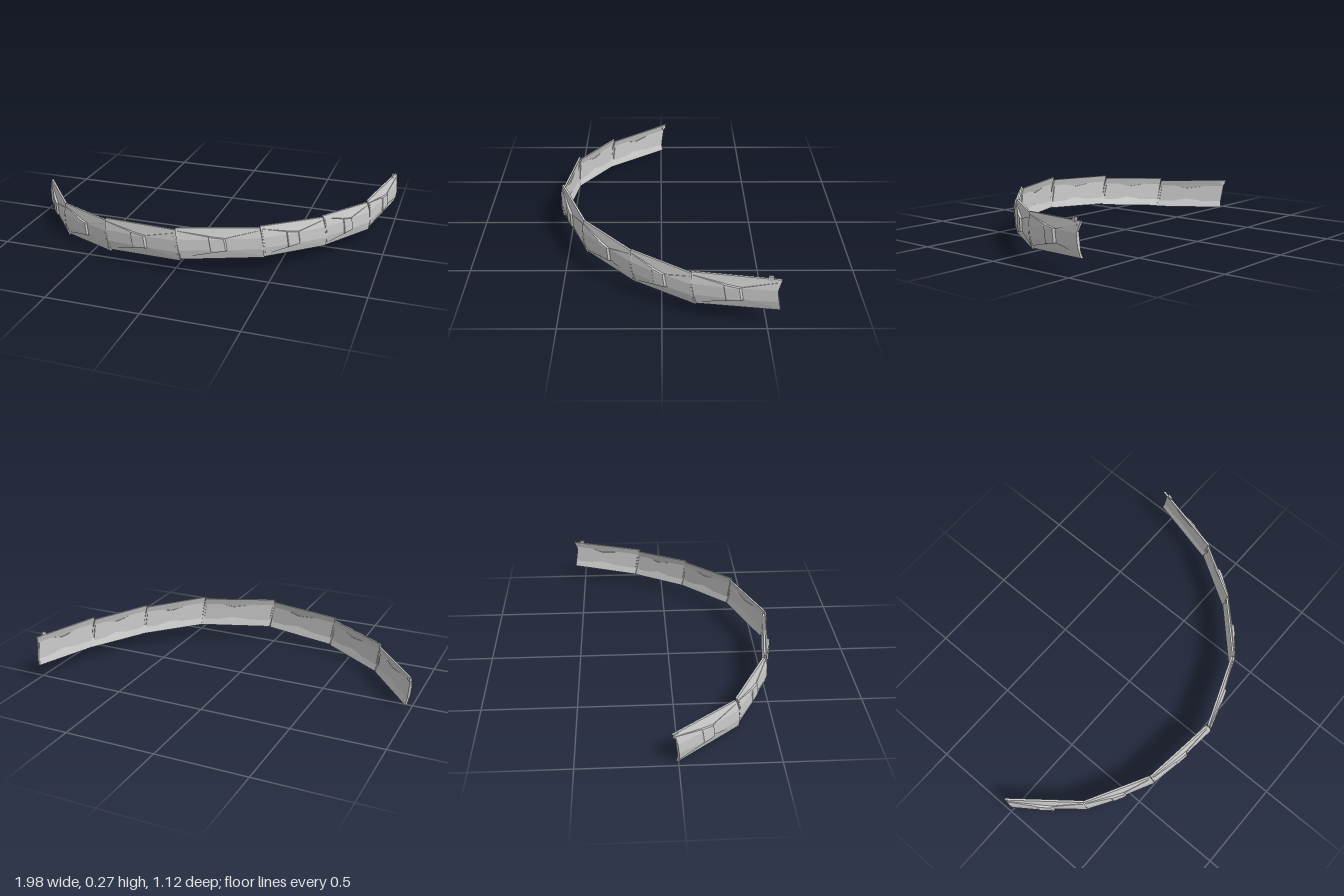
import * as THREE from 'three';

const material = new THREE.MeshStandardMaterial({ color: 0xcccccc, flatShading: true, side: THREE.DoubleSide });

// Plan position of each joint [x, z]
const joints = [[-0.983, -0.015], [-0.72, 0.312], [-0.385, 0.497], [0.03, 0.55], [0.433, 0.398],
  [0.703, 0.142], [0.887, -0.15], [0.983, -0.557]].map(([x, z]) => new THREE.Vector3(x, 0, z));

// Centre height at the start and end of each segment
const heights = [[0.088, 0.09], [0.1, 0.125], [0.136, 0.155], [0.165, 0.164], [0.17, 0.155], [0.16, 0.148], [0.156, 0.178]];
const last = heights.length - 1;

const direction = (i) => joints[i + 1].clone().sub(joints[i]).normalize();
const outward = (d) => new THREE.Vector3(-d.z, 0, d.x);

// Outward direction at a joint, averaged between its two segments
function jointNormal(i) {
  const d = direction(Math.min(i, last));
  if (i > 0) d.add(direction(i - 1));
  return outward(d.normalize());
}

// Closed solid through equal-length cross-sections
function loft(sections) {
  const n = sections[0].length;
  const positions = [];
  const quad = (a, b, c, d) => [a, b, c, a, c, d].forEach((p) => positions.push(p.x, p.y, p.z));
  for (let i = 0; i + 1 < sections.length; i++) {
    const p = sections[i], q = sections[i + 1];
    for (let j = 0; j < n; j++) {
      const k = (j + 1) % n;
      quad(p[j], q[j], q[k], p[k]);
    }
  }
  const s = sections[0], e = sections[sections.length - 1];
  for (let j = 0; j < n / 2 - 1; j++) {
    quad(s[j], s[j + 1], s[n - 2 - j], s[n - 1 - j]);
    quad(e[n - 1 - j], e[n - 2 - j], e[j + 1], e[j]);
  }
  const geometry = new THREE.BufferGeometry();
  geometry.setAttribute('position', new THREE.Float32BufferAttribute(positions, 3));
  geometry.computeVertexNormals();
  return geometry;
}

// Maps (along, outward, up) coordinates of a segment into the model
function segmentPlacer(i) {
  const d = direction(i), n0 = jointNormal(i), n1 = jointNormal(i + 1);
  return (t, o, v) => {
    const a = joints[i].clone().addScaledVector(n0, o);
    const p = a.lerp(joints[i + 1].clone().addScaledVector(n1, o), t);
    let shift = -0.17 * v;
    if (i === last && t === 1) shift = Math.abs(v) < 0.05 ? -0.014 : 0;
    if (i === 0 && t === 0 && Math.abs(v) < 0.05) shift += 0.014;
    p.addScaledVector(d, shift);
    p.y = THREE.MathUtils.lerp(heights[i][0], heights[i][1], t) + v;
    return p;
  };
}

// Dished shell profile, [outward, up]
const shellProfile = (h) => [[-0.003, -h], [0.01, -0.035], [0.01, 0.035], [-0.003, h],
  [-0.014, h], [0, 0.035], [0, -0.035], [-0.014, -h]];

// Raised ramp profile: half width w, edge and middle depth
const rampProfile = (w, edge, mid) => [[-0.004, -w], [edge, -w], [mid, -0.03], [mid, 0.03], [edge, w], [-0.004, w]];

// Ramp stations: [along, half width, edge depth, middle depth]
const rampStations = [[0.02, 0.074, 0.003, 0.0115], [0.37, 0.046, 0.018, 0.021], [0.38, 0.044, 0.021, 0.024],
  [0.55, 0.034, 0.023, 0.024], [0.57, 0.033, 0.014, 0.014], [0.97, 0.068, 0.003, 0.0105]];

export function createModel() {
  const model = new THREE.Group();
  model.name = 'curvedSegmentedBand';

  const add = (parent, name, geometry) => {
    const mesh = new THREE.Mesh(geometry, material);
    mesh.name = name;
    parent.add(mesh);
    return mesh;
  };

  for (let i = 0; i <= last; i++) {
    const place = segmentPlacer(i);
    const segment = new THREE.Group();
    segment.name = 'segment' + (i + 1);
    model.add(segment);

    // Thin shell, slightly taller at its start to overlap the one before
    add(segment, 'shell', loft([[0, 0.088], [1, 0.084]].map(([t, h]) =>
      shellProfile(h).map(([o, v]) => place(t, o, v)))));

    // Tapered ramp rising to a small plate, then falling to the next joint
    add(segment, 'raisedRamp', loft(rampStations.map(([t, w, edge, mid]) =>
      rampProfile(w, edge, mid).map(([o, v]) => place(t, o, v)))));
  }

  // Small tab on the upper edge at the two free ends
  [[0, 0.04], [last, 0.91]].forEach(([i, t]) => {
    const tab = add(model, 'endTab', new THREE.BoxGeometry(0.026, 0.024, 0.012));
    tab.position.copy(segmentPlacer(i)(t, -0.006, i === 0 ? 0.073 : 0.086));
    const d = direction(i);
    tab.rotation.y = Math.atan2(-d.z, d.x);
  });

  return model;
}
